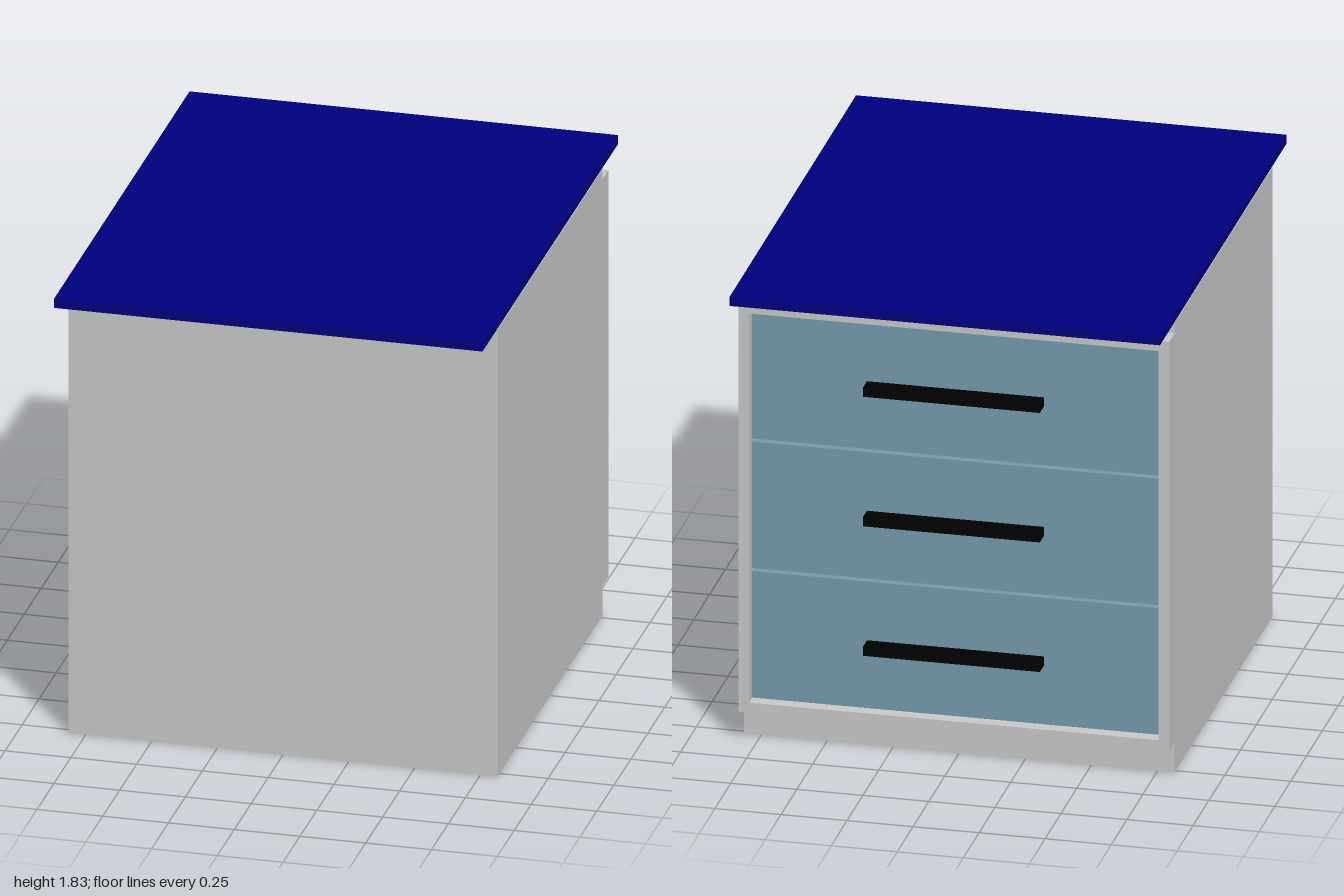
import * as THREE from 'three';

const HALF = 0.815;   // half width of the cabinet
const WALL = 0.04;    // panel thickness
const BACK = 0.78;    // plain end of the carcass (+z)
const STEP = -0.77;   // recessed plinth line (-z)
const FACE = -0.855;  // drawer frame face (-z)

const mat = (color) => new THREE.MeshStandardMaterial({ color });

// Box given by its limits on each axis
function block(name, material, [x0, x1], [y0, y1], [z0, z1]) {
  const mesh = new THREE.Mesh(new THREE.BoxGeometry(x1 - x0, y1 - y0, z1 - z0), material);
  mesh.position.set((x0 + x1) / 2, (y0 + y1) / 2, (z0 + z1) / 2);
  mesh.name = name;
  return mesh;
}

export function createModel() {
  const model = new THREE.Group();
  model.name = 'drawerCabinet';
  const grey = mat(0xcccccc);
  const navy = mat(0x000080);
  const blue = mat(0x779cad);
  const black = mat(0x000000);
  const inner = HALF - WALL;

  // Side panels, notched above and below the drawer frame
  const outline = [
    [BACK, 0], [STEP, 0], [STEP, 0.12], [FACE, 0.12],
    [FACE, 1.75], [STEP, 1.75], [STEP, 1.79], [BACK, 1.79],
  ];
  const profile = new THREE.Shape(outline.map(([z, y]) => new THREE.Vector2(-z, y)));
  const sideGeo = new THREE.ExtrudeGeometry(profile, { depth: WALL, bevelEnabled: false });
  sideGeo.rotateY(Math.PI / 2); // profile runs along z, thickness along x
  for (const [name, x] of [['leftSide', inner], ['rightSide', -HALF]]) {
    const side = new THREE.Mesh(sideGeo, grey);
    side.position.x = x;
    side.name = name;
    model.add(side);
  }

  // Carcass between the sides, including the plinth
  model.add(block('carcass', grey, [-inner, inner], [0, 1.79], [STEP, BACK]));

  // Rails closing the drawer frame
  model.add(block('bottomRail', grey, [-inner, inner], [0.12, 0.16], [FACE, STEP]));
  model.add(block('topRail', grey, [-inner, inner], [1.71, 1.75], [FACE, STEP]));

  // Three drawers, slightly recessed, each with a bar handle
  const pitch = 0.516;
  for (let i = 0; i < 3; i++) {
    const y = 0.423 + i * pitch;
    const half = pitch / 2 - 0.006;
    const drawer = new THREE.Group();
    drawer.name = 'drawer' + (i + 1);
    drawer.add(block('drawerFront', blue, [-inner + 0.005, inner - 0.005], [y - half, y + half], [-0.83, STEP]));
    drawer.add(block('handle', black, [-0.335, 0.335], [y - 0.018, y + 0.018], [-0.895, -0.83]));
    model.add(drawer);
  }

  // Worktop with a thin support board showing beneath its overhangs
  model.add(block('worktop', navy, [-HALF, HALF], [1.795, 1.83], [-1, 1]));
  model.add(block('supportBoard', grey, [-inner, inner], [1.788, 1.795], [-0.94, 0.94]));
  return model;
}
